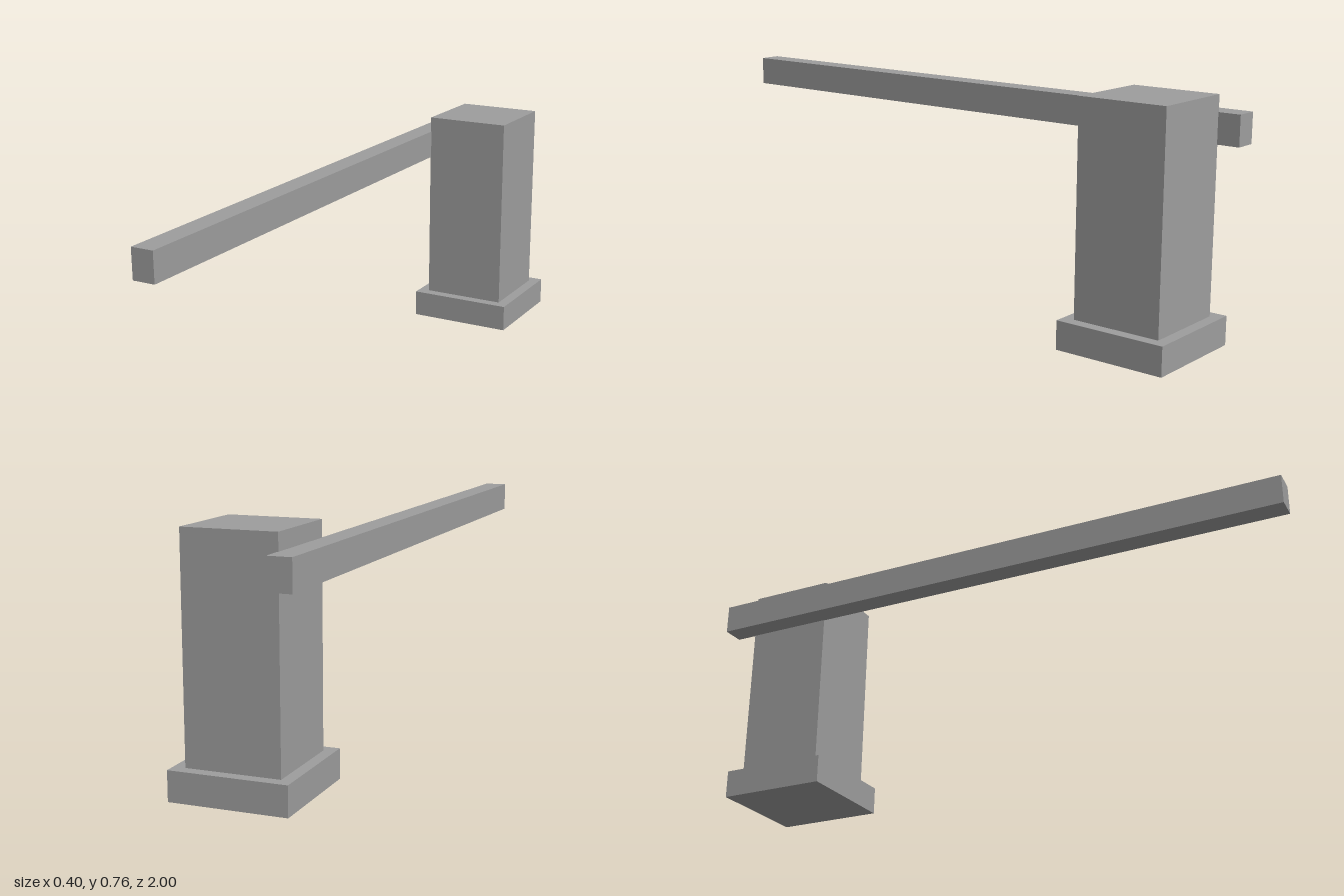
import * as THREE from 'three';

export function createModel() {
  const group = new THREE.Group();
  const material = new THREE.MeshStandardMaterial({ color: 0x9d9d9d, flatShading: true });

  // Box given by its lower and upper corners
  const addBox = (name, min, max) => {
    const size = max.map((v, i) => v - min[i]);
    const mesh = new THREE.Mesh(new THREE.BoxGeometry(...size), material);
    mesh.name = name;
    mesh.position.set(...max.map((v, i) => (v + min[i]) / 2));
    group.add(mesh);
  };

  // Square foot plate
  addBox('base', [-0.163, 0, -0.965], [0.198, 0.091, -0.605]);
  // Upright housing
  addBox('post', [-0.127, 0.091, -0.929], [0.161, 0.756, -0.641]);
  // Long barrier beam on the side of the post
  addBox('barrierArm', [-0.198, 0.609, -1], [-0.125, 0.704, 1]);

  return group;
}
